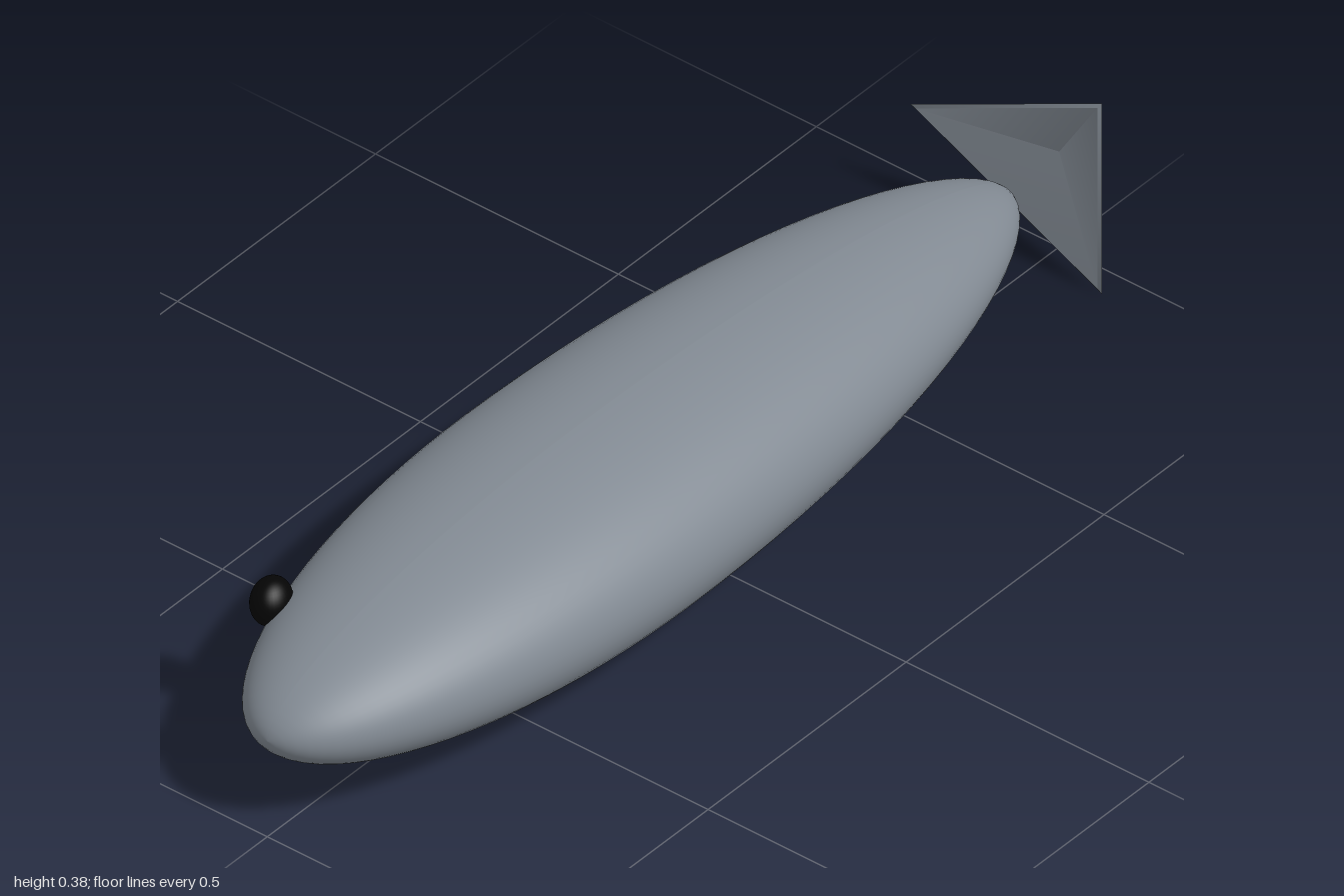
import * as THREE from 'three';

const CENTER_Y = 0.195;

export function createModel() {
  const group = new THREE.Group();
  const skin = new THREE.MeshStandardMaterial({ color: 0x828a93, side: THREE.DoubleSide });
  skin.name = 'slate grey';
  const black = new THREE.MeshStandardMaterial({ color: 0x050505 });
  black.name = 'black';

  const add = (name, geometry, material, x, y, z) => {
    const mesh = new THREE.Mesh(geometry, material);
    mesh.name = name;
    mesh.position.set(x, y, z);
    group.add(mesh);
    return mesh;
  };

  // Body: a sphere stretched into a blunt nose (-x) and a longer, slimmer tail (+x)
  const body = new THREE.SphereGeometry(1, 64, 48);
  body.rotateZ(-Math.PI / 2);
  const p = body.attributes.position;
  for (let i = 0; i < p.count; i++) {
    const x = p.getX(i);
    const r = Math.hypot(p.getY(i), p.getZ(i));
    const slim = x > 0 && r > 1e-6 ? Math.pow(r, 0.1) : 1;
    p.setXYZ(i, x * (x > 0 ? 1.085 : 0.78), p.getY(i) * 0.17 * slim, p.getZ(i) * 0.263 * slim);
  }
  body.computeVertexNormals();
  add('body', body, skin, -0.22, CENTER_Y, 0);

  // Tail fin: a shallow, hollow three-sided cone with a thin lip, its tip facing +x
  const finPart = (name, top, bottom, height, x) => {
    const g = new THREE.CylinderGeometry(top, bottom, height, 3, 1, true, Math.PI);
    g.rotateZ(-Math.PI / 2);
    g.scale(1, 0.221, 0.263);
    g.computeVertexNormals();
    // keep the shading smooth around the three sides
    const n = g.attributes.normal, q = g.attributes.position, v = new THREE.Vector3();
    for (let i = 0; i < n.count; i++) {
      const slope = (bottom - top) / height * 0.22;
      v.set(slope, q.getY(i), q.getZ(i));
      const r = Math.hypot(v.y, v.z);
      if (r > 1e-6) { v.y /= r; v.z /= r; }
      v.normalize();
      n.setXYZ(i, v.x, v.y, v.z);
    }
    add(name, g, skin, x, CENTER_Y, 0);
  };
  finPart('tailFin', 0.001, 0.95, 0.057, 0.9715);
  const lip = new THREE.CylinderGeometry(1, 0.95, 0.004, 3, 1, true, Math.PI);
  lip.rotateZ(-Math.PI / 2);
  lip.scale(1, 0.221, 0.263);
  add('tailFinLip', lip, skin, 0.945, CENTER_Y, 0);

  // Single eye on the rear side of the head
  const eye = add('eye', new THREE.SphereGeometry(0.042, 32, 24), black, -0.775, 0.26, -0.175);
  eye.scale.set(1, 1, 0.82);
  eye.rotation.y = 0.3;

  return group;
}
